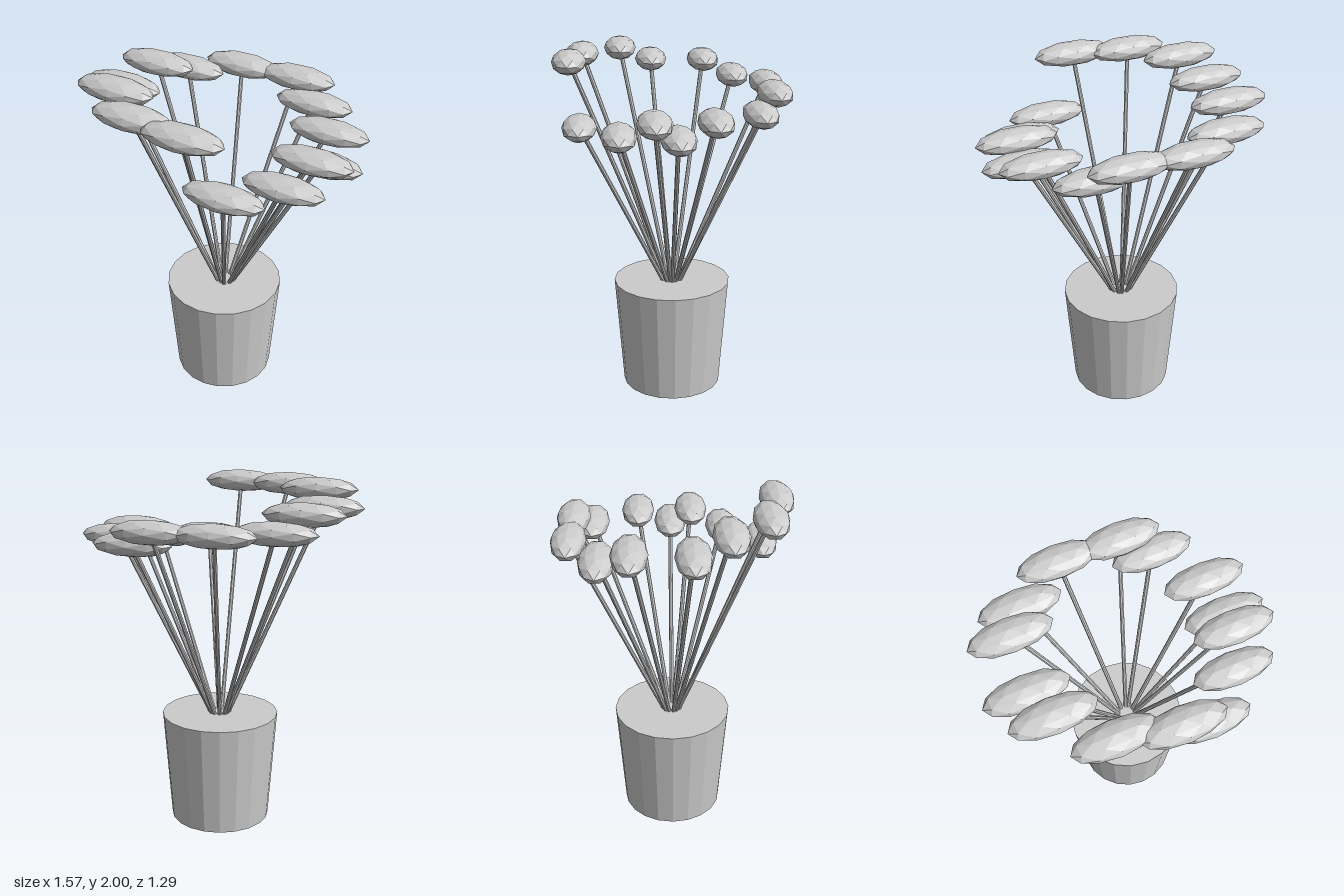
import * as THREE from 'three';

const material = new THREE.MeshStandardMaterial({ color: 0xcccccc, flatShading: true });

function addMesh(parent, name, geometry) {
  const mesh = new THREE.Mesh(geometry, material);
  mesh.name = name;
  parent.add(mesh);
  return mesh;
}

export function createModel() {
  const model = new THREE.Group();
  model.name = 'pottedPlant';

  // Tapered pot, filled to the rim
  const potHeight = 0.645;
  const pot = addMesh(model, 'pot', new THREE.CylinderGeometry(0.338, 0.29, potHeight, 20));
  pot.position.set(-0.005, potHeight / 2, -0.01);

  // Leaf centres [x, y, z]; the ring climbs in a spiral around the pot
  const leaves = [
    [0.555, 1.615, -0.01], [0.467, 1.615, 0.29], [0.235, 1.615, 0.497],
    [0.335, 1.695, -0.455], [0.52, 1.695, -0.2], [0.545, 1.695, 0.11],
    [-0.425, 1.78, -0.395], [-0.155, 1.78, -0.555], [0.19, 1.78, -0.55],
    [-0.565, 1.858, 0.085], [-0.53, 1.858, -0.228],
    [0.045, 1.935, 0.55], [-0.27, 1.935, 0.487], [-0.495, 1.935, 0.27],
  ];
  const root = new THREE.Vector3(-0.005, 0.53, -0.01);
  const up = new THREE.Vector3(0, 1, 0);
  const leafGeometry = new THREE.IcosahedronGeometry(1, 1);

  leaves.forEach((centre) => {
    const sprig = new THREE.Group();
    sprig.name = 'sprig';
    model.add(sprig);

    // Straight stem fanning out from inside the pot
    const tip = new THREE.Vector3(...centre);
    const axis = tip.clone().sub(root);
    const stem = addMesh(sprig, 'stem', new THREE.CylinderGeometry(0.0125, 0.0125, axis.length(), 8));
    stem.position.copy(root).add(tip).multiplyScalar(0.5);
    stem.quaternion.setFromUnitVectors(up, axis.normalize());

    // Flattened faceted leaf
    const leaf = addMesh(sprig, 'leaf', leafGeometry);
    leaf.scale.set(0.227, 0.065, 0.095);
    leaf.position.copy(tip);
  });

  return model;
}
